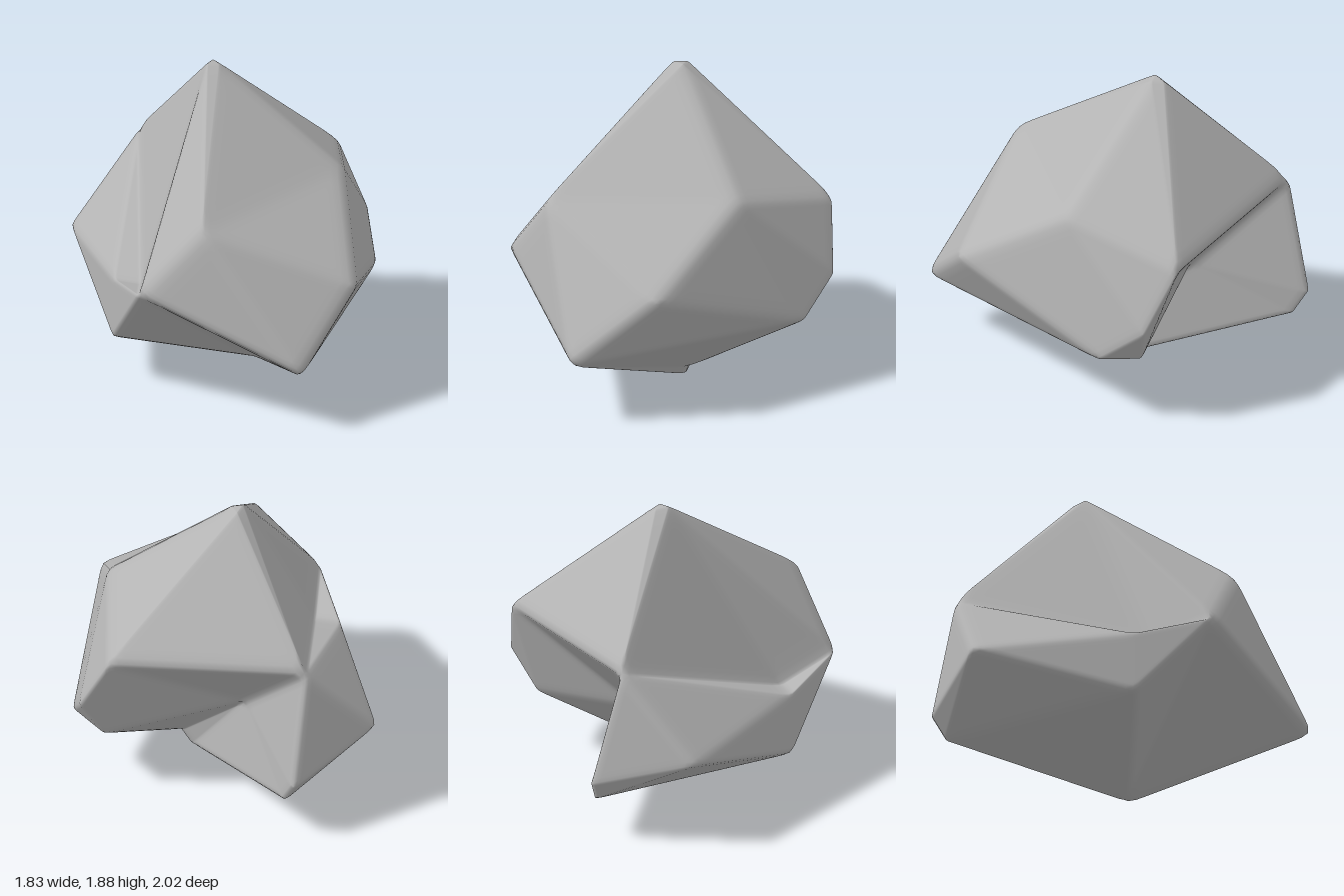
import * as THREE from 'three';
import { mergeVertices } from 'three/addons/utils/BufferGeometryUtils.js';

// Corners of the boulder, a little proud of their worn positions
const corners = {
  A: [-0.08, 1.87, -0.18],  // blunt peak
  U: [0.0, 1.865, -0.2],
  X: [-0.05, 1.86, -0.27],
  B: [0.585, 0.385, 1.025], // front toe
  C: [-0.41, 0.775, 0.8],   // front shoulder
  D: [-0.03, 1.2, 0.78],    // brow
  E: [0.755, 1.255, -0.08], // side shoulder
  F: [0.885, 0.8, 0.61],
  G: [0.925, 0.46, -0.44],
  W: [0.85, 0.69, -0.72],   // rounded back corner
  P: [0.71, 0.41, -0.61],
  I: [0.66, 1.08, -0.84],   // back ridge ends
  H: [-0.54, 1.12, -0.84],
  J: [-0.935, 0.59, -0.56], // side spur
  K: [-0.605, 0.28, 0.36],
  R: [-0.6, 0.67, 0.35],    // rim and pocket behind the shoulder
  V: [-0.43, 0.66, 0.38],
  S: [0.33, 0.06, -0.02],   // belly
  L: [0.255, -0.025, -0.055], // foot
  N: [-0.485, 0.4, -1.025], // back spur
  M: [-0.42, 0.255, -0.955],
  Q: [-0.12, 0.59, -0.41],  // hollow at the back
};

// Facets, counter-clockwise from outside
const facets = ('ACD ADU UDE UEI UIX XIH XHA AUX DCB DBF DFE EFG FBG EGW EWI GPW WPI '
  + 'AHV AVC HJR HRV RCV CRK RJK GBS PGS PSQ SLQ BLS BCL CKL JHN JNM KJM KML '
  + 'MNQ NHQ LMQ QHI IPQ').split(' ');

// Split every facet into a fine triangle grid
function gridGeometry(n) {
  const out = [];
  for (const f of facets) {
    const [a, b, c] = [...f].map((k) => corners[k]);
    const put = (i, j) => {
      for (let k = 0; k < 3; k++) {
        out.push((a[k] * (n - i - j) + b[k] * i + c[k] * j) / n);
      }
    };
    for (let i = 0; i < n; i++) {
      for (let j = 0; j < n - i; j++) {
        put(i, j); put(i + 1, j); put(i, j + 1);
        if (i + j < n - 1) { put(i + 1, j); put(i + 1, j + 1); put(i, j + 1); }
      }
    }
  }
  const g = new THREE.BufferGeometry();
  g.setAttribute('position', new THREE.Float32BufferAttribute(out, 3));
  return mergeVertices(g, 1e-4);
}

// Wear the edges round by pulling each vertex toward its neighbours
function wearEdges(g, passes) {
  const pos = g.attributes.position;
  const near = Array.from({ length: pos.count }, () => new Set());
  const idx = g.index.array;
  for (let t = 0; t < idx.length; t += 3) {
    for (let k = 0; k < 3; k++) {
      near[idx[t + k]].add(idx[t + (k + 1) % 3]).add(idx[t + (k + 2) % 3]);
    }
  }
  for (let p = 0; p < passes; p++) {
    const old = pos.array.slice();
    near.forEach((set, v) => {
      for (let k = 0; k < 3; k++) {
        let sum = 0;
        for (const w of set) sum += old[w * 3 + k];
        pos.array[v * 3 + k] = 0.5 * old[v * 3 + k] + 0.5 * sum / set.size;
      }
    });
  }
}

export function createModel() {
  const geometry = gridGeometry(20);
  wearEdges(geometry, 2);
  geometry.computeVertexNormals();

  const stone = new THREE.MeshStandardMaterial({ color: 0xb4b4b4 });
  stone.name = 'grey stone';
  const boulder = new THREE.Mesh(geometry, stone);
  boulder.name = 'boulder';

  const model = new THREE.Group();
  model.name = 'rock';
  model.add(boulder);
  return model;
}
